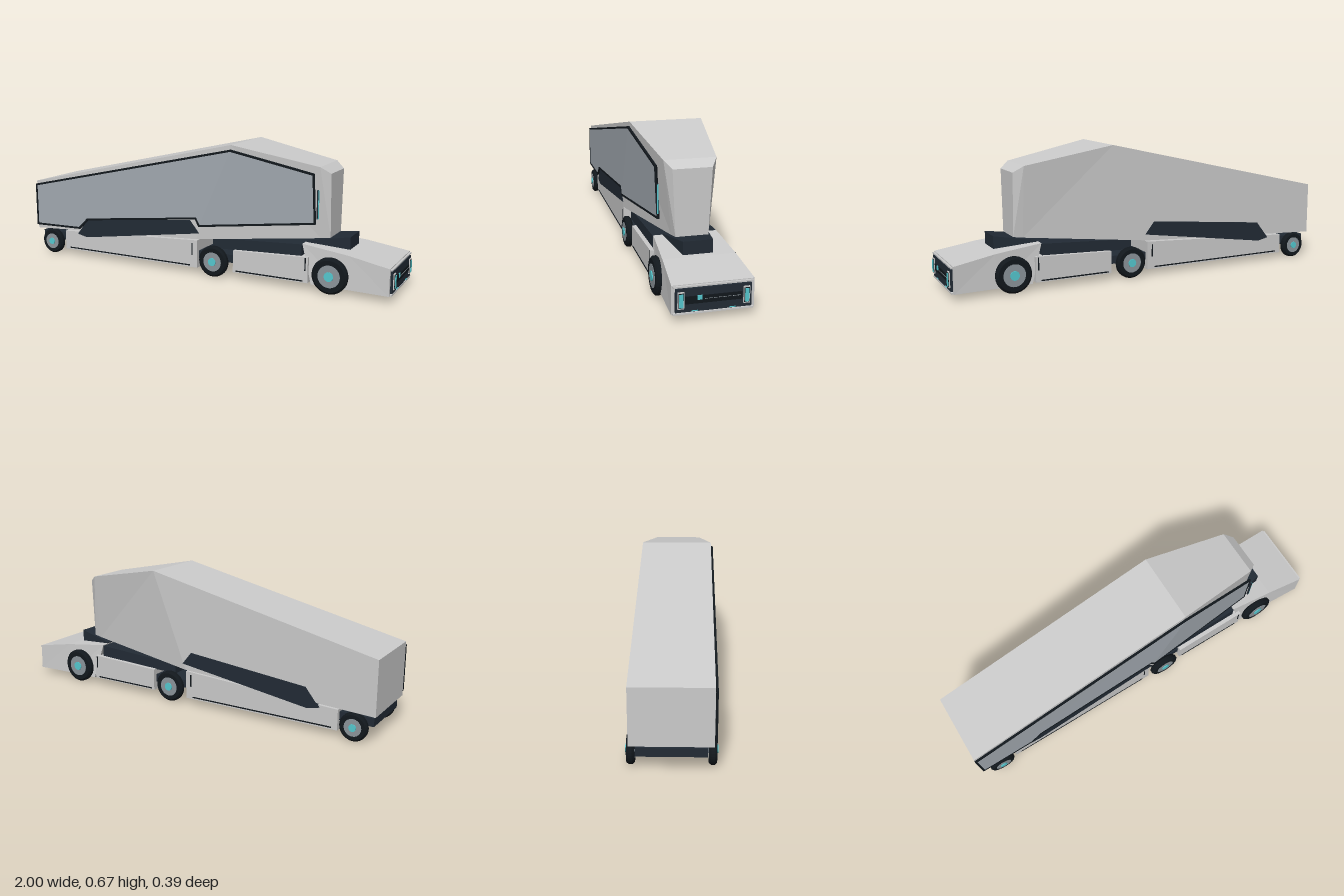
import * as THREE from 'three';

const mat = (color) => new THREE.MeshStandardMaterial({ color, flatShading: true });

export function createModel() {
  const model = new THREE.Group();
  const grey = mat(0xcccccc), dark = mat(0x222b35), black = mat(0x12181d);
  const panelGrey = mat(0xa2a9b0), rimGrey = mat(0x8c959b), cyan = mat(0x55c8cf);

  const add = (name, geometry, material, parent = model) => {
    const mesh = new THREE.Mesh(geometry, material);
    mesh.name = name;
    parent.add(mesh);
    return mesh;
  };
  const box = (name, material, [x, y, z], [w, h, d], parent) => {
    const mesh = add(name, new THREE.BoxGeometry(w, h, d), material, parent);
    mesh.position.set(x, y, z);
    return mesh;
  };
  // Side profile in x, y extruded from z0 to z1
  const prism = (pts, z0, z1) => {
    const shape = new THREE.Shape(pts.map(([x, y]) => new THREE.Vector2(x, y)));
    return new THREE.ExtrudeGeometry(shape, { depth: z1 - z0, bevelEnabled: false }).translate(0, 0, z0);
  };
  // Four-sided cross-section: x, y, half width at the top and at the bottom
  const section = (xt, yt, wt, xb, yb, wb) =>
    [[xt, yt, -wt], [xt, yt, wt], [xb, yb, wb], [xb, yb, -wb]];
  const loft = (rings) => {
    const out = [];
    const tri = (...p) => p.forEach((v) => out.push(...v));
    for (let k = 0; k < rings.length - 1; k++) {
      const a = rings[k], b = rings[k + 1];
      for (let i = 0; i < 4; i++) {
        const j = (i + 1) % 4;
        if (i === 3) { // mirrored diagonal on the far side
          tri(a[i], a[j], b[i]);
          tri(a[j], b[j], b[i]);
        } else {
          tri(a[i], a[j], b[j]);
          tri(a[i], b[j], b[i]);
        }
      }
    }
    const r = rings[0], f = rings[rings.length - 1];
    tri(r[0], r[2], r[1]); tri(r[0], r[3], r[2]);
    tri(f[0], f[1], f[2]); tri(f[0], f[2], f[3]);
    const g = new THREE.BufferGeometry();
    g.setAttribute('position', new THREE.Float32BufferAttribute(out, 3));
    g.computeVertexNormals();
    return g;
  };

  // Trailer body: wedge roof with a tapered nose
  add('trailerBody', loft([
    section(-1, 0.395, 0.177, -1, 0.13, 0.177),
    section(0.19, 0.665, 0.177, 0, 0.18, 0.177),
    section(0.62, 0.582, 0.12, 0.62, 0.237, 0.082),
    section(0.665, 0.55, 0.09, 0.665, 0.243, 0.075),
  ]), grey);

  // Framed side panel on the left, folded inwards towards the nose
  const foldZ = (x, y) => 0.183 - 0.078 * Math.max(0, x - (0.02 + (y - 0.25) * 0.436));
  const peak = [0.19, 0.638], low = [0.02, 0.252];
  const rearPart = [[-0.996, 0.375], peak, low, [0, 0.288], [-0.66, 0.213], [-0.715, 0.16], [-0.996, 0.155]];
  const nosePart = [peak, low, [0.607, 0.318], [0.598, 0.55]];
  const panel = new THREE.Group();
  panel.name = 'sidePanel';
  model.add(panel);
  for (const part of [rearPart, nosePart]) {
    const g = prism(part, -0.003, 0.003), p = g.attributes.position;
    for (let i = 0; i < p.count; i++) p.setZ(i, p.getZ(i) + foldZ(p.getX(i), p.getY(i)));
    g.computeVertexNormals();
    add('panelSheet', g, panelGrey, panel);
  }
  const rim = [rearPart[0], peak, nosePart[3], nosePart[2], ...rearPart.slice(2)];
  rim.forEach((p, i) => {
    const q = rim[(i + 1) % rim.length];
    const a = new THREE.Vector3(...p, foldZ(...p)), b = new THREE.Vector3(...q, foldZ(...q));
    const bar = box('panelFrame', black, [0, 0, 0], [0.01, 0.01, a.distanceTo(b) + 0.006], panel);
    bar.position.copy(a).lerp(b, 0.5);
    bar.lookAt(b);
  });
  box('panelLightHousing', dark, [0.622, 0.41, 0.146], [0.006, 0.138, 0.008], panel);
  box('panelLight', cyan, [0.626, 0.41, 0.146], [0.004, 0.134, 0.006], panel);

  // Chassis: spine, two side-box units and the coupling deck
  box('chassisSpine', dark, [-0.19, 0.095, 0], [1.59, 0.04, 0.3]);
  add('rearChassisBox', prism([[-0.82, 0.03], [0, 0.03], [0, 0.172], [-0.82, 0.13]], -0.171, 0.171), grey);
  add('middleChassisBox', prism([[0.2, 0.035], [0.59, 0.035], [0.59, 0.16], [0.2, 0.145]], -0.171, 0.171), grey);
  add('couplingDeck', prism([[0.08, 0.14], [0.55, 0.15], [0.55, 0.214], [0.08, 0.19]], -0.15, 0.15), dark);

  for (const s of [1, -1]) {
    // Dark skirts and trim lines on each side
    const skirt = [[-0.73, 0.125], [-0.66, 0.212], [-0.035, 0.274], [0.015, 0.212], [-0.67, 0.112]];
    add('sideSkirt', prism(skirt, s > 0 ? 0.16 : -0.181, s > 0 ? 0.181 : -0.16), dark);
    for (const [x0, x1, y] of [[-0.79, -0.04, 0.04], [0.215, 0.565, 0.043]]) {
      box('lowerTrim', black, [(x0 + x1) / 2, y, s * 0.171], [x1 - x0, 0.006, 0.004]);
      box('uprightTrim', black, [x1 + 0.012, 0.125, s * 0.171], [0.006, 0.062, 0.004]);
    }
  }

  // Cab
  add('cab', loft([
    section(0.552, 0.217, 0.148, 0.605, 0.03, 0.165),
    section(0.78, 0.192, 0.163, 0.78, 0.03, 0.168),
    section(0.98, 0.158, 0.177, 0.98, 0.03, 0.177),
  ]), grey);
  add('cabCoupling', loft([
    section(0.555, 0.222, 0.105, 0.555, 0.205, 0.105),
    section(0.76, 0.255, 0.067, 0.76, 0.185, 0.067),
  ]), dark);

  // Cab face
  const face = new THREE.Group();
  face.name = 'cabFace';
  model.add(face);
  box('facePanel', dark, [0.983, 0.092, 0], [0.014, 0.102, 0.324], face);
  box('upperLip', grey, [0.983, 0.151, 0], [0.014, 0.007, 0.342], face);
  box('lowerLip', grey, [0.983, 0.034, 0], [0.014, 0.007, 0.342], face);
  box('grille', black, [0.991, 0.093, 0], [0.005, 0.033, 0.242], face);
  box('sensor', cyan, [0.994, 0.102, 0.06], [0.005, 0.019, 0.02], face);
  for (let i = 0; i < 8; i++) {
    box('grilleDash', rimGrey, [0.994, 0.095, 0.033 - i * 0.02], [0.003, 0.002, 0.014], face);
  }
  for (const s of [1, -1]) {
    box('headlightFrame', grey, [0.991, 0.094, s * 0.14], [0.008, 0.074, 0.028], face);
    box('headlightBezel', black, [0.993, 0.094, s * 0.14], [0.008, 0.064, 0.022], face);
    box('headlight', cyan, [0.996, 0.094, s * 0.14], [0.008, 0.058, 0.017], face);
    box('markerLight', cyan, [0.991, 0.045, s * 0.08], [0.004, 0.003, 0.028], face);
  }

  // Wheels: three axles of growing size
  for (const [x, r] of [[-0.9, 0.067], [0.095, 0.078], [0.7, 0.087]]) {
    const axle = add('axle', new THREE.CylinderGeometry(0.018, 0.018, 0.32, 12).rotateX(Math.PI / 2), dark);
    axle.position.set(x, r, 0);
    for (const s of [1, -1]) {
      const wheel = new THREE.Group();
      wheel.name = 'wheel';
      wheel.position.set(x, r, s * 0.172);
      model.add(wheel);
      const profile = [[0.6, -0.017], [0.88, -0.017], [1, -0.008], [1, 0.008], [0.88, 0.017], [0.6, 0.017], [0.6, -0.017]];
      const tyre = new THREE.LatheGeometry(profile.map(([k, y]) => new THREE.Vector2(k * r, y)), 32);
      add('tyre', tyre.rotateX(Math.PI / 2), black, wheel);
      const disc = (name, radius, depth, material) =>
        add(name, new THREE.CylinderGeometry(radius, radius, depth, 32).rotateX(Math.PI / 2), material, wheel);
      disc('rim', r * 0.62, 0.037, rimGrey);
      disc('hub', r * 0.26, 0.046, cyan);
    }
  }
  return model;
}
